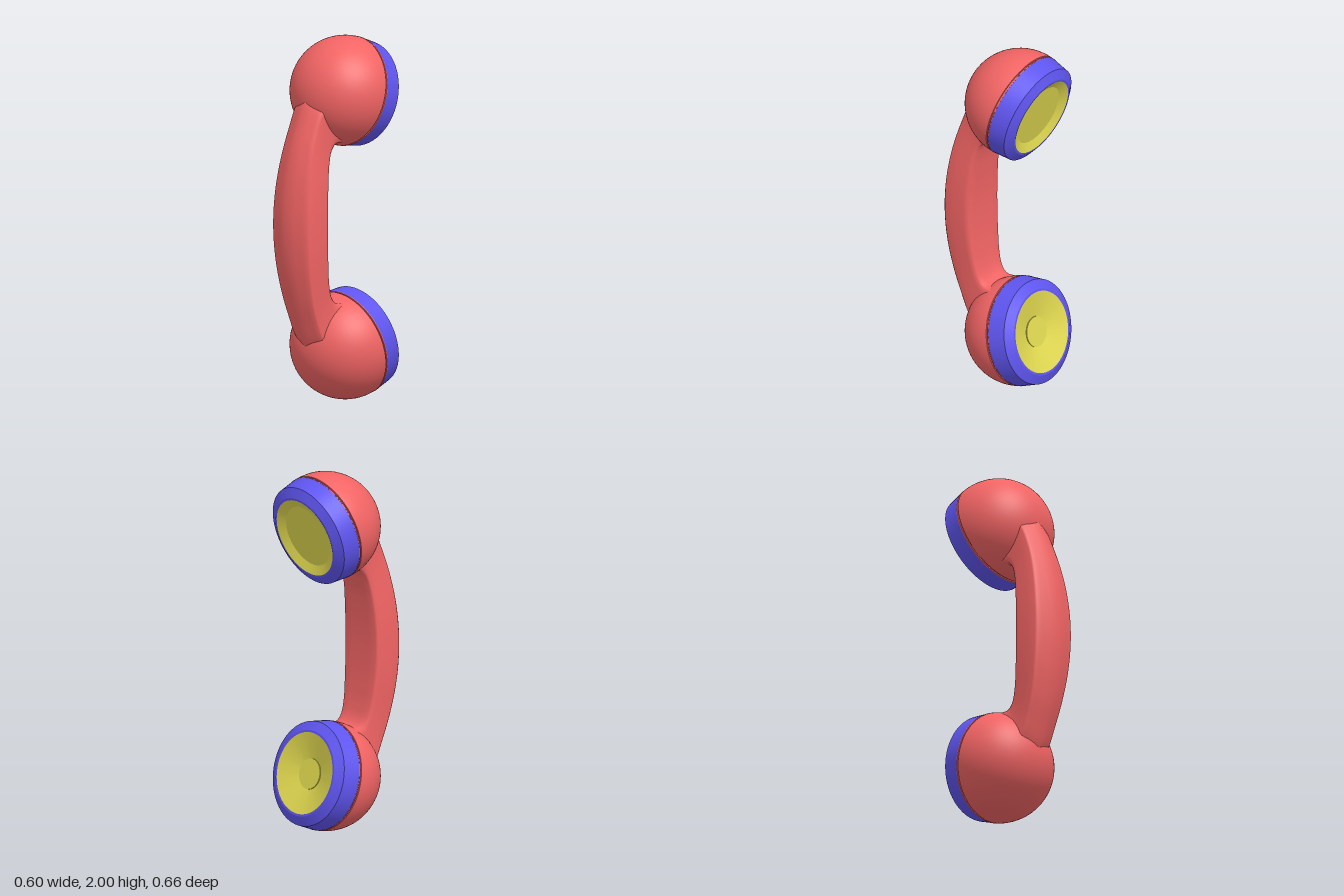
import * as THREE from 'three';
import { toCreasedNormals } from 'three/addons/utils/BufferGeometryUtils.js';

const red = new THREE.MeshStandardMaterial({ color: 0xf26464 });
const blue = new THREE.MeshStandardMaterial({ color: 0x5f55f0 });
const yellow = new THREE.MeshStandardMaterial({ color: 0xe0d850 });

const lathe = (name, points, material, crease) => {
  let g = new THREE.LatheGeometry(points.map(([r, y]) => new THREE.Vector2(r, y)), 64);
  if (crease) g = toCreasedNormals(g, 0.3);
  const mesh = new THREE.Mesh(g, material);
  mesh.name = name;
  return mesh;
};

// Round head: half ball, grooved rim, chamfered cap and a recessed face
function createHead(name, y, tilt, faceProfile) {
  const head = new THREE.Group();
  head.name = name;
  const ball = [];
  for (let i = 0; i <= 24; i++) {
    const a = (i / 24) * Math.PI / 2;
    ball.push([0.301 * Math.sin(a), -0.301 * Math.cos(a)]);
  }
  head.add(
    lathe(name + 'Shell', ball, red, false),
    lathe(name + 'Rim', [[0.301, 0], [0.301, 0.008], [0.294, 0.009], [0.294, 0.015], [0.301, 0.016], [0.301, 0.022], [0.28, 0.022]], red, true),
    lathe(name + 'Cap', [[0.28, 0.022], [0.3, 0.022], [0.287, 0.122], [0.236, 0.151], [0.224, 0.151]], blue, true),
    lathe(name + 'Face', faceProfile, yellow, true),
  );
  head.position.set(0, y, -0.125);
  head.rotation.x = tilt;
  return head;
}

// Curved grip lofted between an outer ridge line and an inner line
function createHandle() {
  // outer z, outer y, inner z, inner y, half width, all from the middle upwards
  const half = [
    [0.33, 0, 0.125, 0, 0.142],
    [0.324, 0.13, 0.122, 0.11, 0.14],
    [0.305, 0.27, 0.113, 0.22, 0.133],
    [0.27, 0.42, 0.097, 0.33, 0.122],
    [0.226, 0.55, 0.073, 0.405, 0.115],
    [0.178, 0.67, 0.04, 0.44, 0.115],
    [0.12, 0.75, -0.02, 0.445, 0.125],
  ];
  const rows = [
    ...half.slice(1).reverse().map(([a, b, c, d, w]) => [a, -b, c, -d, w]),
    ...half,
  ];
  const outer = new THREE.CatmullRomCurve3(rows.map(r => new THREE.Vector3(0, r[1] + 1, r[0])));
  const inner = new THREE.CatmullRomCurve3(rows.map(r => new THREE.Vector3(0, r[3] + 1, r[2])));
  const width = new THREE.SplineCurve(rows.map((r, i) => new THREE.Vector2(i, r[4])));

  // cross-section: share of half width, share of depth from ridge to inner side
  const side = [[0.4, 0.075], [0.75, 0.15], [0.92, 0.2], [0.98, 0.25], [1, 0.5], [0.99, 0.85], [0.96, 0.95], [0.88, 1], [0.5, 1]];
  const section = [[0, 0], ...side, [0, 1], ...side.slice().reverse().map(([x, d]) => [-x, d])];
  const n = section.length, steps = 60, pos = [], index = [];
  for (let i = 0; i <= steps; i++) {
    const t = i / steps;
    const o = outer.getPoint(t), p = inner.getPoint(t), w = width.getPoint(t).y;
    for (const [x, d] of section) {
      const v = o.clone().lerp(p, d);
      pos.push(x * w, v.y, v.z);
    }
  }
  for (let i = 0; i < steps; i++) {
    for (let j = 0; j < n; j++) {
      const a = i * n + j, b = i * n + (j + 1) % n;
      index.push(a, b, a + n, b, b + n, a + n);
    }
  }
  const g = new THREE.BufferGeometry();
  g.setAttribute('position', new THREE.Float32BufferAttribute(pos, 3));
  g.setIndex(index);
  g.computeVertexNormals();
  const mesh = new THREE.Mesh(g, red);
  mesh.name = 'handle';
  return mesh;
}

export function createModel() {
  const model = new THREE.Group();
  model.name = 'handset';
  const deg = Math.PI / 180;
  model.add(
    createHandle(),
    // earpiece: flat dish with a bevelled edge
    createHead('earpiece', 1.699, -105 * deg, [[0.224, 0.151], [0.175, 0.127], [0, 0.127]]),
    // mouthpiece: shallow cone with a small button
    createHead('mouthpiece', 0.301, -75 * deg, [[0.224, 0.151], [0.084, 0.11], [0.084, 0.115], [0, 0.115]]),
  );
  return model;
}
